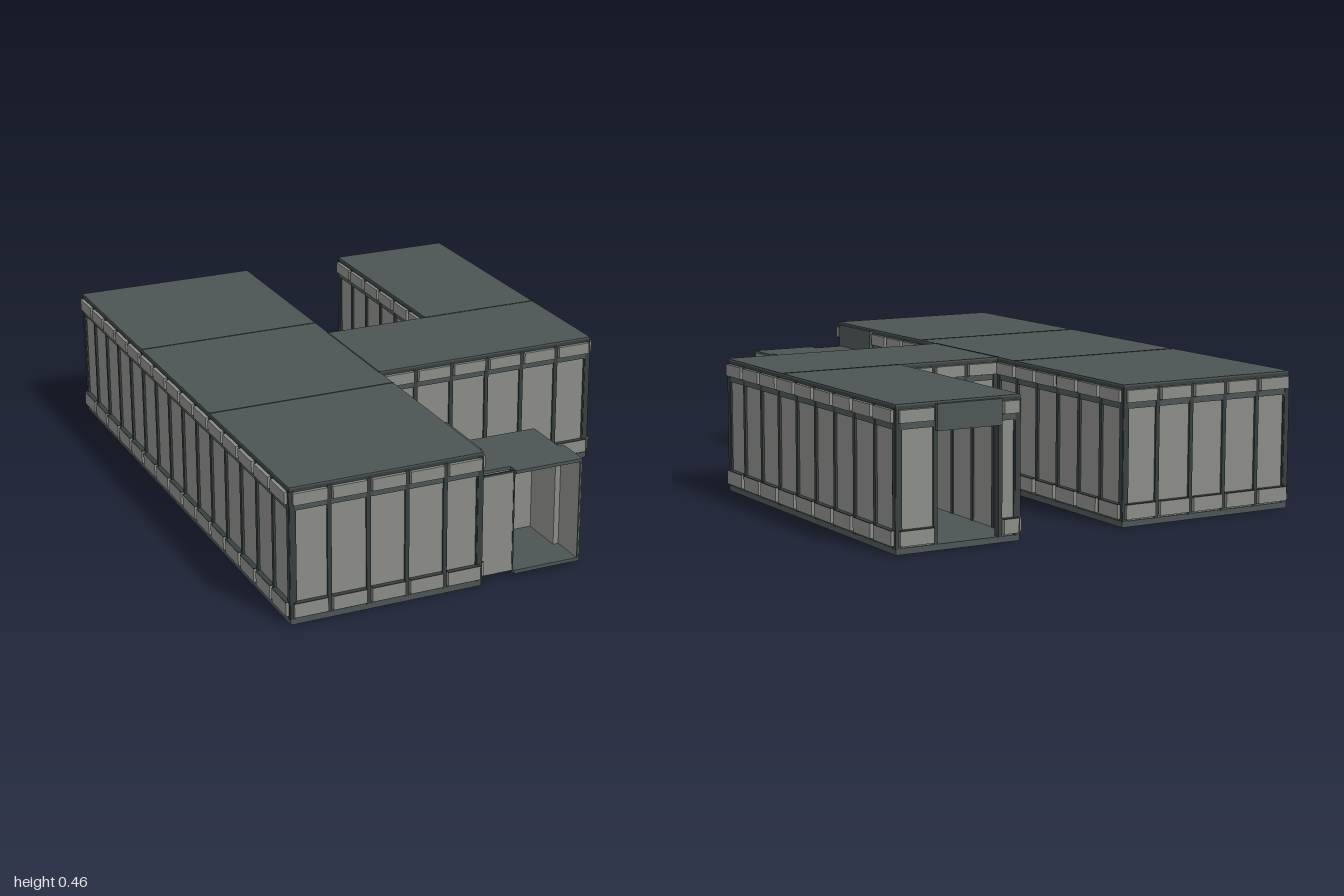
import * as THREE from 'three';

const mat = (name, color) => {
  const m = new THREE.MeshStandardMaterial({ color });
  m.name = name;
  return m;
};
const panelGrey = mat('panelGrey', 0x8a8c87);
const slateGrey = mat('slateGrey', 0x4b5554);
const darkTrim = mat('darkTrim', 0x363f3e);

// Box given by its minimum and maximum corners
function box(parent, name, material, [x0, y0, z0], [x1, y1, z1]) {
  const mesh = new THREE.Mesh(new THREE.BoxGeometry(x1 - x0, y1 - y0, z1 - z0), material);
  mesh.position.set((x0 + x1) / 2, (y0 + y1) / 2, (z0 + z1) / 2);
  mesh.name = name;
  parent.add(mesh);
  return mesh;
}

// Flat slab from a plan outline of [x, z] points
function slab(parent, name, material, outline, y0, y1) {
  const shape = new THREE.Shape(outline.map(([x, z]) => new THREE.Vector2(x, -z)));
  const geo = new THREE.ExtrudeGeometry(shape, { depth: y1 - y0, bevelEnabled: false });
  geo.rotateX(-Math.PI / 2);
  const mesh = new THREE.Mesh(geo, material);
  mesh.position.y = y0;
  mesh.name = name;
  parent.add(mesh);
}

const even = (length, n) => Array.from({ length: n + 1 }, (_, i) => (length * i) / n);

// Panelled wall running from a to b, outside on its local +z; door is a bay index
function wall(parent, name, a, b, bays, door = -1) {
  const dx = b[0] - a[0], dz = b[1] - a[1];
  const length = Math.hypot(dx, dz);
  const edges = Array.isArray(bays) ? bays : even(length, bays);
  const g = new THREE.Group();
  g.name = name;
  g.position.set(a[0], 0, a[1]);
  g.rotation.y = Math.atan2(-dz, dx);
  parent.add(g);

  edges.forEach((e, i) => {
    const end = i === 0 || i === edges.length - 1;
    const w = end ? 0.009 : 0.007;
    const c = i === 0 ? e + w : i === edges.length - 1 ? e - w : e;
    box(g, 'mullion', darkTrim, [c - w, 0.018, -0.022], [c + w, 0.448, 0.002]);
  });

  for (let i = 0; i < edges.length - 1; i++) {
    const s = edges[i], e = edges[i + 1];
    if (i === door) {
      box(g, 'doorLintel', slateGrey, [s, 0.372, -0.022], [e, 0.455, 0.014]);
      continue;
    }
    const p = s + 0.009, q = e - 0.009;
    box(g, 'wallPanel', panelGrey, [s, 0.018, -0.018], [e, 0.448, -0.005]);
    box(g, 'headBand', slateGrey, [s, 0.384, -0.022], [e, 0.403, 0.001]);
    box(g, 'upperPlate', panelGrey, [p, 0.405, -0.006], [q, 0.445, 0.012]);
    box(g, 'lowerPlate', panelGrey, [p, 0.027, -0.006], [q, 0.073, 0.012]);
    box(g, 'skirtingLine', darkTrim, [p, 0.073, -0.006], [q, 0.076, 0.012]);
  }
}

export function createModel() {
  const model = new THREE.Group();
  model.name = 'modularBuilding';

  // Plan edges: long main block, cross arm and rear wing
  const L = -0.742, M = -0.082, W = 0.303, R = 0.742, Z = 0.988, A = 0.215;
  const plan = [[L, Z], [M, Z], [M, A], [R, A], [R, -Z], [W, -Z], [W, -A], [M, -A], [M, -Z], [L, -Z]];

  // Floor and roof
  slab(model, 'floor', slateGrey, plan, 0, 0.02);
  slab(model, 'roofEdge', darkTrim, plan, 0.445, 0.456);
  slab(model, 'roof', slateGrey, plan, 0.456, 0.462);

  // Module joints across the roof and floor
  for (const [x0, z0, x1, z1] of [
    [L, 0.323, M, 0.329], [L, -0.333, M, -0.327], [W, -0.218, R, -0.212], [M - 0.003, -A, M + 0.003, A],
  ]) {
    box(model, 'roofJoint', darkTrim, [x0, 0.455, z0], [x1, 0.4635, z1]);
    box(model, 'floorJoint', darkTrim, [x0, -0.0005, z0], [x1, 0.004, z1]);
  }

  // Outer walls, anticlockwise around the plan seen from above
  wall(model, 'mainFrontWall', [L, Z], [M, Z], 5);
  wall(model, 'entranceWall', [M, Z], [M, A], [0, 0.038, 0.288, 0.408, 0.533, 0.658, 0.773], 1);
  wall(model, 'armFrontWall', [M, A], [R, A], 6);
  wall(model, 'outerSideWall', [R, A], [R, -Z], 9);
  wall(model, 'wingBackWall', [R, -Z], [W, -Z], [0, 0.137, 0.367, 0.439], 1);
  wall(model, 'wingCourtWall', [W, -Z], [W, -A], 6);
  wall(model, 'armBackWall', [W, -A], [M, -A], 3);
  wall(model, 'mainCourtWall', [M, -A], [M, -Z], 6);
  wall(model, 'mainBackWall', [M, -Z], [L, -Z], 5);
  wall(model, 'mainSideWall', [L, -Z], [L, Z], 15);

  // Entrance porch, open at the front
  const porch = new THREE.Group();
  porch.name = 'entrancePorch';
  model.add(porch);
  const porchPlan = [[-0.08, 0.94], [0.04, 0.94], [0.04, 0.98], [0.28, 0.98],
    [0.28, 0.855], [0.26, 0.855], [0.26, 0.692], [-0.08, 0.692]];
  slab(porch, 'porchFloor', slateGrey, porchPlan, 0.012, 0.024);
  slab(porch, 'porchRoof', slateGrey, porchPlan, 0.362, 0.373);
  box(porch, 'porchBackWall', panelGrey, [-0.075, 0.02, 0.693], [0.259, 0.363, 0.702]);
  box(porch, 'porchSideWall', panelGrey, [0.25, 0.02, 0.693], [0.259, 0.363, 0.86]);
  box(porch, 'porchOuterSideWall', panelGrey, [0.27, 0.02, 0.852], [0.279, 0.363, 0.979]);
  box(porch, 'porchReturn', panelGrey, [0.25, 0.02, 0.852], [0.279, 0.363, 0.858]);
  box(porch, 'sideWallJoint', darkTrim, [0.258, 0.02, 0.847], [0.282, 0.363, 0.852]);
  box(porch, 'slidingDoor', panelGrey, [-0.07, 0.02, 0.962], [0.04, 0.363, 0.968]);
  box(porch, 'doorEdge', darkTrim, [0.037, 0.02, 0.94], [0.042, 0.363, 0.97]);
  box(porch, 'doorRail', darkTrim, [-0.07, 0.363, 0.962], [0.04, 0.37, 0.968]);
  box(porch, 'porchJamb', darkTrim, [0.27, 0.024, 0.975], [0.275, 0.363, 0.981]);

  return model;
}
